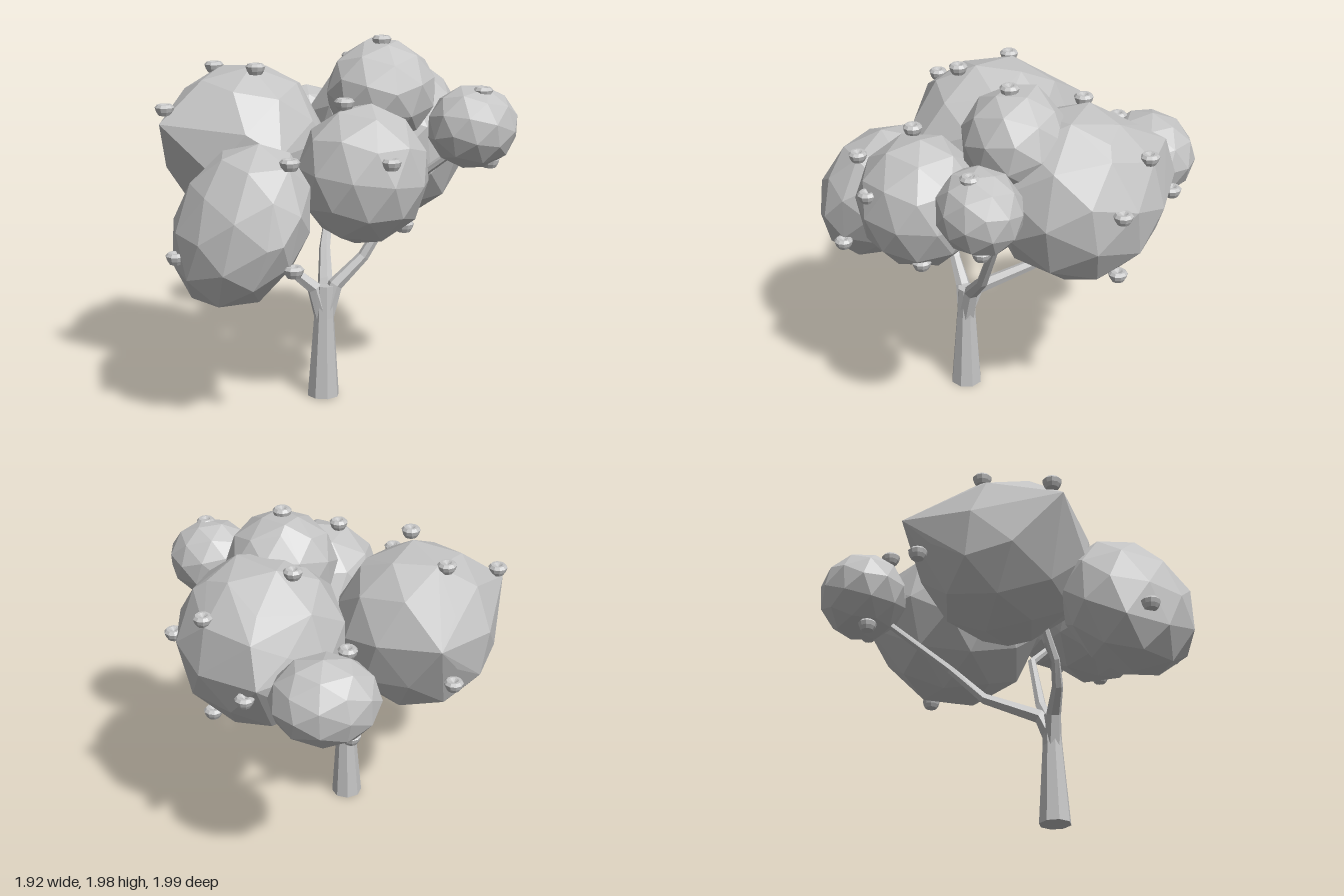
import * as THREE from 'three';
import { ConvexGeometry } from 'three/addons/geometries/ConvexGeometry.js';

const grey = new THREE.MeshStandardMaterial({ color: 0xc4c4c4 });
grey.name = 'plain grey';

const V = (p) => new THREE.Vector3(...p);

// Faceted normals
function facet(geometry) {
  const g = geometry.index ? geometry.toNonIndexed() : geometry;
  g.computeVertexNormals();
  return g;
}

function mesh(name, geometry) {
  const m = new THREE.Mesh(facet(geometry), grey);
  m.name = name;
  return m;
}

// Tapered limb: the rows of a cylinder are moved onto a path
function limb(name, path, radii, sides) {
  const pts = path.map(V);
  const n = pts.length - 1;
  const g = new THREE.CylinderGeometry(1, 1, 1, sides, n);
  const pos = g.attributes.position;
  const up = new THREE.Vector3(0, 1, 0);
  const turns = pts.map((p, i) => {
    const dir = pts[Math.min(i + 1, n)].clone().sub(pts[Math.max(i - 1, 0)]).normalize();
    return new THREE.Quaternion().setFromUnitVectors(up, dir);
  });
  const v = new THREE.Vector3();
  for (let i = 0; i < pos.count; i++) {
    const row = Math.round((pos.getY(i) + 0.5) * n);
    v.set(pos.getX(i) * radii[row], 0, pos.getZ(i) * radii[row]);
    v.applyQuaternion(turns[row]).add(pts[row]);
    pos.setXYZ(i, v.x, v.y, v.z);
  }
  return mesh(name, g);
}

// Leaf clump: hull of a stretched icosphere plus a few protruding corners
function clump({ name, at, size, turn = 0, lean = 0, corners = [] }, spin) {
  const ball = new THREE.IcosahedronGeometry(1.03, 1);
  ball.rotateX(spin).rotateY(spin * 2.3).rotateZ(spin * 0.7);
  ball.scale(...size).rotateY(turn).rotateZ(lean).translate(...at);
  const seen = new Map();
  const pos = ball.attributes.position;
  for (let i = 0; i < pos.count; i++) {
    const p = new THREE.Vector3().fromBufferAttribute(pos, i);
    seen.set(p.toArray().map((c) => c.toFixed(3)).join(), p);
  }
  return mesh(name, new ConvexGeometry([...seen.values(), ...corners.map(V)]));
}

const clumps = [
  { name: 'backRightClump', at: [-0.41, 1.37, -0.04], size: [0.43, 0.45, 0.47],
    corners: [[-0.47, 1.52, -0.63], [-0.91, 1.54, 0.16], [-0.33, 1.4, 0.5],
      [0, 1.42, 0.2], [-0.1, 1.71, 0], [-0.28, 0.92, 0]],
    fruit: [[-0.39, 1.82, 0.18], [-0.87, 1.61, 0.11], [-0.54, 1.79, -0.2], [-0.55, 1.28, -0.55]] },
  { name: 'backLeftClump', at: [0.44, 1.36, -0.14], size: [0.46, 0.47, 0.47],
    corners: [[0.5, 1.6, -0.64], [0.48, 1.38, -0.72], [0.72, 1.74, -0.18]],
    fruit: [[0.27, 1.81, -0.26], [0.74, 1.63, -0.4], [0.91, 1.42, -0.16], [0.72, 0.97, -0.25],
      [0.54, 1.3, -0.67]] },
  { name: 'frontMiddleClump', at: [0.08, 1.31, 0.61], size: [0.34, 0.36, 0.335],
    fruit: [[-0.02, 1.68, 0.6], [0.13, 1.42, 0.92], [0.28, 1.04, 0.69]] },
  { name: 'frontRightClump', at: [-0.57, 1.075, 0.6], size: [0.3, 0.44, 0.385],
    turn: 0.35, lean: -0.5, corners: [[-0.44, 1.05, 0.99]],
    fruit: [[-0.91, 0.93, 0.61], [-0.37, 0.9, 0.91], [-0.36, 1.42, 0.8]] },
  { name: 'topClump', at: [0.32, 1.67, 0.16], size: [0.3, 0.28, 0.28],
    corners: [[0.3, 1.95, 0.03]], fruit: [[0.31, 1.95, 0.19]] },
  { name: 'frontLeftClump', at: [0.71, 1.52, 0.54], size: [0.24, 0.22, 0.215],
    fruit: [[0.74, 1.71, 0.6], [0.8, 1.33, 0.57]] },
  { name: 'backClump', at: [0.135, 1.345, -0.755], size: [0.285, 0.235, 0.245],
    fruit: [[0.01, 1.54, -0.62], [0, 1.1, -0.74]] },
];

export function createModel() {
  const tree = new THREE.Group();
  tree.name = 'tree';

  // Trunk, splitting into branches
  tree.add(limb('trunk',
    [[-0.05, 0, 0.31], [-0.045, 0.45, 0.305], [-0.04, 0.63, 0.3]], [0.09, 0.057, 0.052], 8));
  const branches = [
    ['rightBranch', [[-0.05, 0.45, 0.305], [-0.1, 0.62, 0.3], [-0.23, 0.73, 0.29],
      [-0.31, 0.85, 0.26], [-0.36, 1.05, 0.18]]],
    ['leftBranch', [[-0.04, 0.45, 0.305], [0.02, 0.63, 0.3], [0.18, 0.78, 0.3],
      [0.42, 1.17, 0.31], [0.63, 1.38, 0.48]]],
    ['backBranch', [[-0.04, 0.5, 0.3], [-0.02, 0.63, 0.24], [0.06, 0.745, -0.06],
      [0.14, 0.94, -0.24], [0.12, 1.22, -0.66]]],
  ];
  for (const [name, path] of branches) {
    tree.add(limb(name, path, [0.05, 0.042, 0.032, 0.025, 0.02], 6));
  }

  // Small cup-shaped fruit with a dented top
  const cup = facet(new THREE.LatheGeometry([
    [0, -0.032], [0.034, -0.03], [0.046, -0.01], [0.053, 0.013], [0.04, 0.028], [0.026, 0.028], [0, 0.012],
  ].map(([x, y]) => new THREE.Vector2(x, y)), 10));

  // Leaf clumps with their fruit
  clumps.forEach((c, k) => {
    tree.add(clump(c, 0.4 + 0.7 * k));
    c.fruit.forEach((p, i) => {
      const f = new THREE.Mesh(cup, grey);
      f.name = 'fruit';
      f.position.set(...p);
      f.rotation.y = i * 1.3;
      tree.add(f);
    });
  });
  return tree;
}
